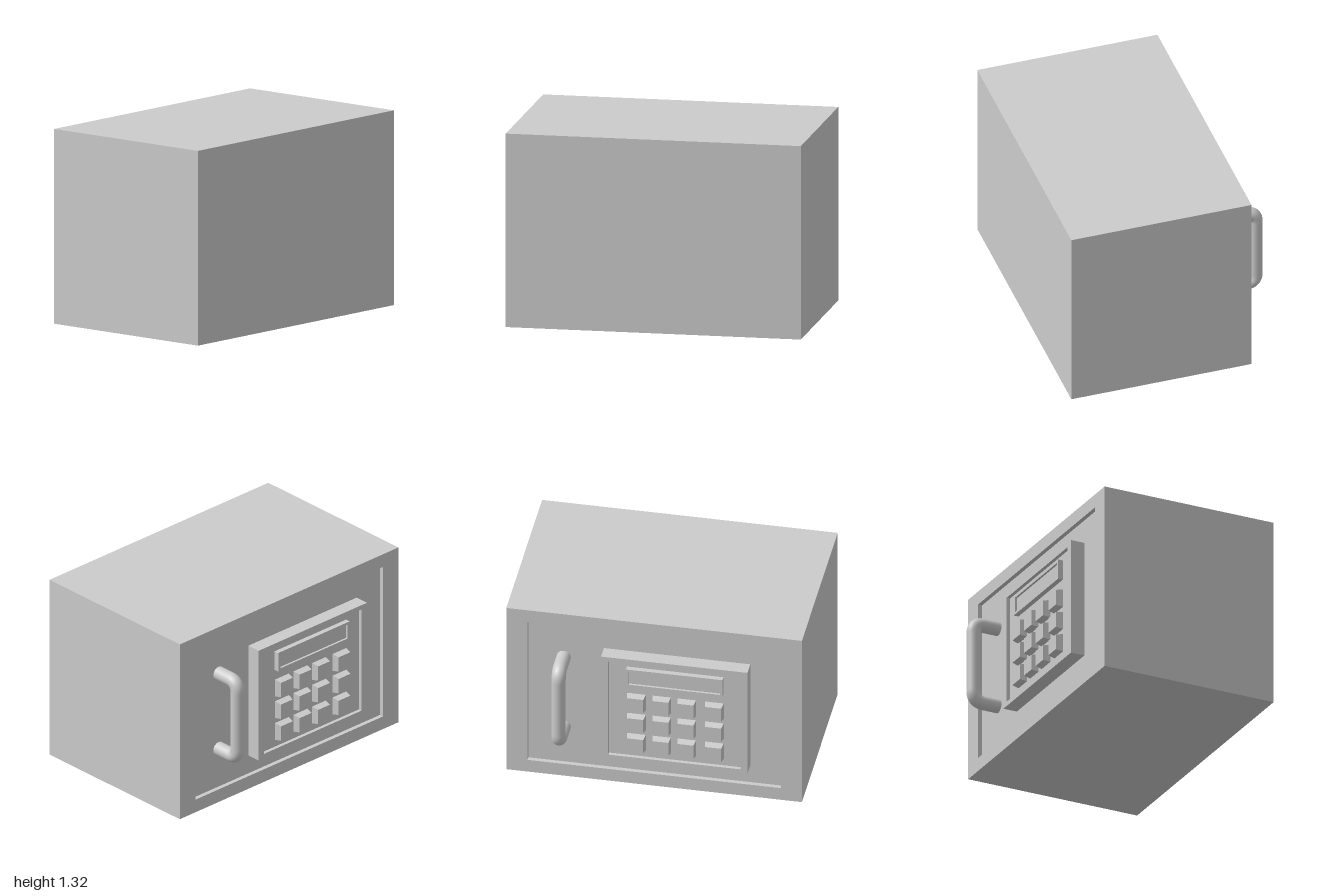
import * as THREE from 'three';

const material = new THREE.MeshStandardMaterial({ color: 0xcccccc });

function add(parent, name, geometry) {
  const mesh = new THREE.Mesh(geometry, material);
  mesh.name = name;
  parent.add(mesh);
  return mesh;
}

// Solid block between two corners
function block(parent, name, x0, x1, y0, y1, z0, z1) {
  const mesh = add(parent, name, new THREE.BoxGeometry(x1 - x0, y1 - y0, z1 - z0));
  mesh.position.set((x0 + x1) / 2, (y0 + y1) / 2, (z0 + z1) / 2);
  return mesh;
}

// Rectangular rim with a rectangular opening, borders given per axis
function rim(parent, name, x0, x1, y0, y1, z0, z1, bx, by) {
  const corners = (a, b, c, d) => [[a, c], [b, c], [b, d], [a, d]].map(p => new THREE.Vector2(...p));
  const shape = new THREE.Shape(corners(x0, x1, y0, y1));
  shape.holes.push(new THREE.Path(corners(x0 + bx, x1 - bx, y0 + by, y1 - by).reverse()));
  const mesh = add(parent, name, new THREE.ExtrudeGeometry(shape, { depth: z1 - z0, bevelEnabled: false }));
  mesh.position.z = z0;
  return mesh;
}

// Key that narrows toward its outer (-z) face
function keyGeometry(base, tip, depth) {
  const geometry = new THREE.BoxGeometry(base, base, depth);
  const p = geometry.attributes.position;
  for (let i = 0; i < p.count; i++) {
    if (p.getZ(i) < 0) p.setXY(i, p.getX(i) * tip / base, p.getY(i) * tip / base);
  }
  geometry.computeVertexNormals();
  return geometry;
}

// Straight legs and bar joined by rounded bends
function handleGeometry() {
  const x = 0.617, low = 0.382, high = 0.948, out = -0.684, bend = 0.07;
  const v = (y, z) => new THREE.Vector3(x, y, z);
  const path = new THREE.CurvePath();
  path.add(new THREE.LineCurve3(v(low, -0.49), v(low, out + bend)));
  path.add(new THREE.QuadraticBezierCurve3(v(low, out + bend), v(low, out), v(low + bend, out)));
  path.add(new THREE.LineCurve3(v(low + bend, out), v(high - bend, out)));
  path.add(new THREE.QuadraticBezierCurve3(v(high - bend, out), v(high, out), v(high, out + bend)));
  path.add(new THREE.LineCurve3(v(high, out + bend), v(high, -0.49)));
  return new THREE.TubeGeometry(path, 80, 0.048, 24, false);
}

export function createModel() {
  const safe = new THREE.Group();
  safe.name = 'safe';

  // Cabinet with the door set back inside a rim
  block(safe, 'cabinet', -1, 1, 0, 1.315, -0.5, 0.73);
  rim(safe, 'doorSurround', -1, 1, 0, 1.315, -0.53, -0.5, 0.143, 0.095);

  add(safe, 'handle', handleGeometry());

  // Control panel with a sunken face
  const panel = new THREE.Group();
  panel.name = 'controlPanel';
  safe.add(panel);
  block(panel, 'panelBase', -0.645, 0.345, 0.23, 1.055, -0.575, -0.5);
  rim(panel, 'panelRim', -0.645, 0.345, 0.23, 1.055, -0.6, -0.575, 0.048, 0.032);

  // Display window
  block(panel, 'displayScreen', -0.478, 0.175, 0.84, 0.98, -0.595, -0.575);
  rim(panel, 'displayBezel', -0.478, 0.175, 0.84, 0.98, -0.61, -0.595, 0.018, 0.018);

  // Keypad, with the last column set slightly apart
  const key = keyGeometry(0.126, 0.108, 0.05);
  for (const y of [0.703, 0.54, 0.376]) {
    for (const x of [0.11, -0.06, -0.23, -0.417]) {
      add(panel, 'key', key).position.set(x, y, -0.6);
    }
  }
  return safe;
}
